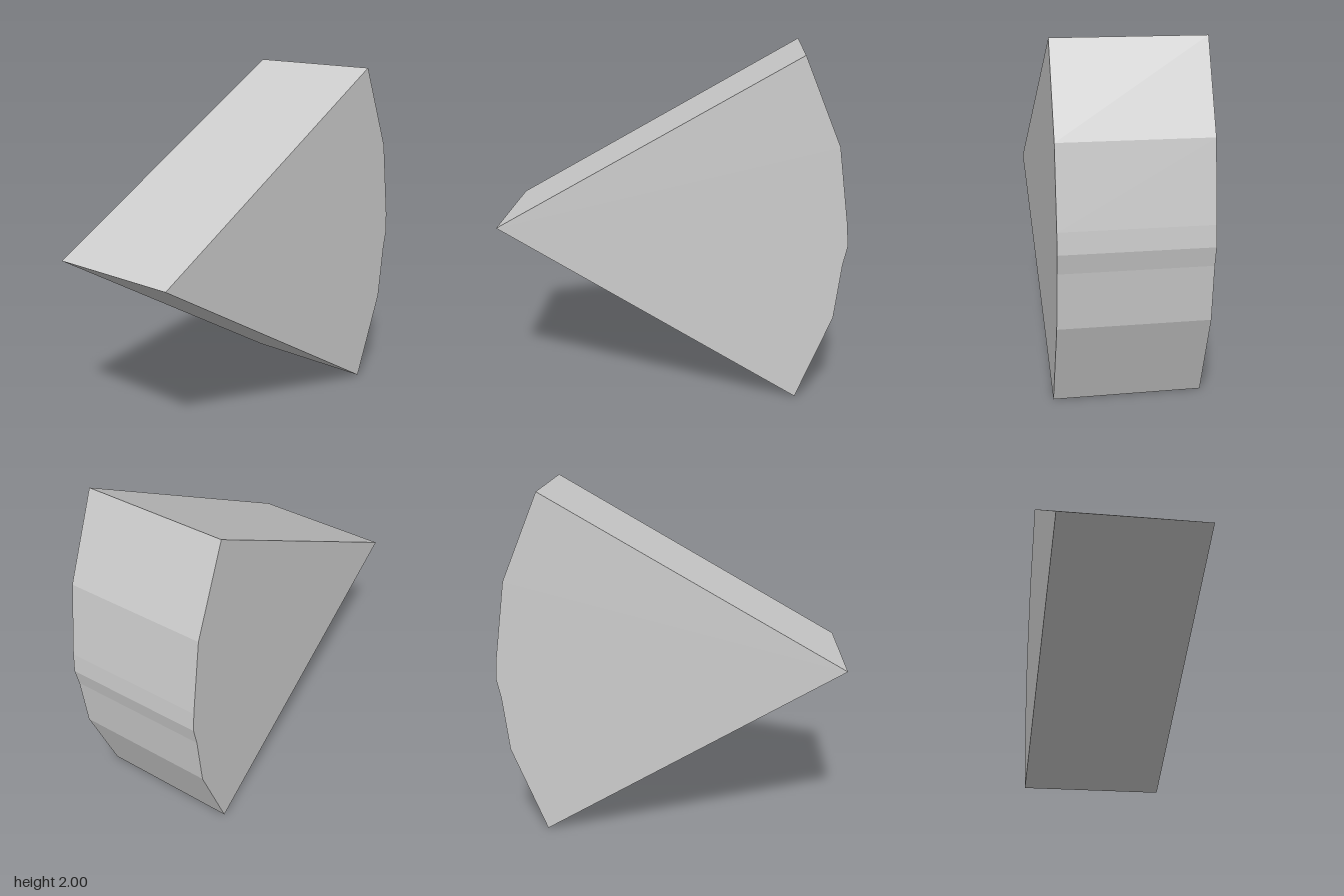
import * as THREE from 'three';

export function createModel() {
  const group = new THREE.Group();
  const depth = 0.835;

  // Wedge outline: pointed tip on the left, faceted arc on the right
  const outline = [
    [-1, 1], [0.73, 0], [0.935, 0.5], [0.975, 0.82],
    [1, 0.93], [0.993, 1.05], [0.935, 1.5], [0.73, 2],
  ].map(([x, y]) => new THREE.Vector2(x, y));

  const geometry = new THREE.ExtrudeGeometry(new THREE.Shape(outline), {
    depth,
    bevelEnabled: false,
  });
  geometry.translate(0, 0, -depth / 2);

  const wedge = new THREE.Mesh(
    geometry,
    new THREE.MeshStandardMaterial({ color: 0xcccccc, flatShading: true })
  );
  wedge.name = 'wedge';
  group.add(wedge);
  return group;
}
